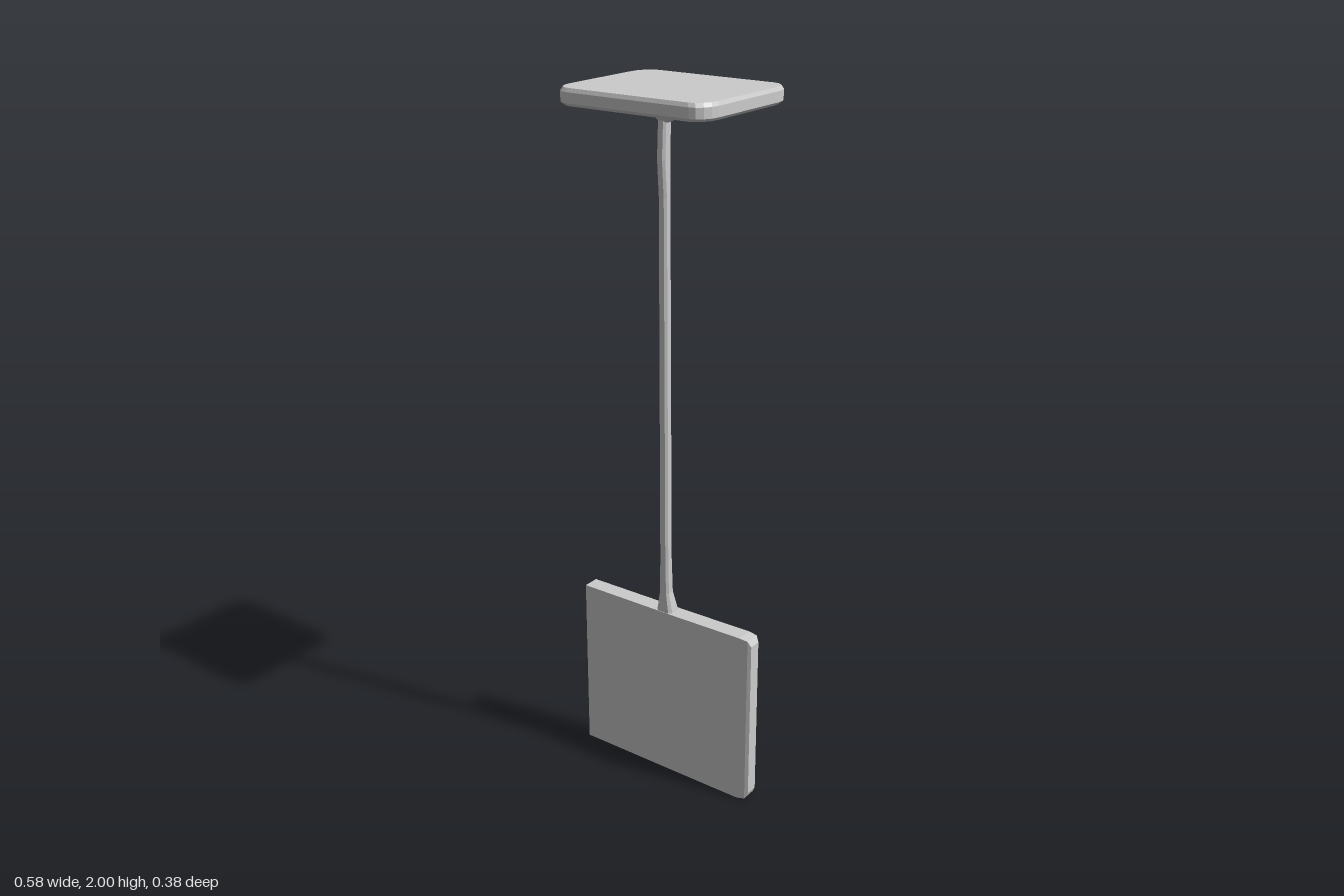
import * as THREE from 'three';

const material = new THREE.MeshStandardMaterial({ color: 0xcccccc, flatShading: true });

// Skin a stack of equal-length rings and close both ends
function loft(name, rings) {
  const pos = [];
  const tri = (...pts) => pts.forEach((p) => pos.push(p.x, p.y, p.z));
  const n = rings[0].length;
  for (let i = 0; i < rings.length - 1; i++) {
    for (let j = 0; j < n; j++) {
      const k = (j + 1) % n;
      tri(rings[i][j], rings[i][k], rings[i + 1][k]);
      tri(rings[i][j], rings[i + 1][k], rings[i + 1][j]);
    }
  }
  const first = rings[0], last = rings[rings.length - 1];
  for (let j = 1; j < n - 1; j++) {
    tri(first[0], first[j + 1], first[j]);
    tri(last[0], last[j], last[j + 1]);
  }
  const geometry = new THREE.BufferGeometry();
  geometry.setAttribute('position', new THREE.Float32BufferAttribute(pos, 3));
  geometry.computeVertexNormals();
  const mesh = new THREE.Mesh(geometry, material);
  mesh.name = name;
  return mesh;
}

// Horizontal rectangle with cut or rounded corners, at height y
function levelRing(y, x0, x1, z0, z1, rx, rz = rx, steps = 1) {
  const corners = [[x1 - rx, z0 + rz], [x0 + rx, z0 + rz], [x0 + rx, z1 - rz], [x1 - rx, z1 - rz]];
  const ring = [];
  corners.forEach(([cx, cz], c) => {
    for (let s = 0; s <= steps; s++) {
      const a = (c + s / steps) * Math.PI / 2;
      ring.push(new THREE.Vector3(cx + rx * Math.cos(a), y, cz - rz * Math.sin(a)));
    }
  });
  return ring;
}

// Upright rectangle across the panel, at position x
function panelRing(x, y0, y1, z0, z1) {
  return [[y0, z0], [y1, z0], [y1, z1], [y0, z1]].map(([y, z]) => new THREE.Vector3(x, y, z));
}

export function createModel() {
  const group = new THREE.Group();

  // Flat panel, square on one edge and chamfered on the other
  group.add(loft('panel', [
    panelRing(-0.293, 0, 0.523, -0.01, 0.038),
    panelRing(0.04, 0, 0.525, -0.01, 0.039),
    panelRing(0.255, 0, 0.528, -0.01, 0.039),
    panelRing(0.28, 0.005, 0.524, -0.01, 0.036),
    panelRing(0.29, 0.025, 0.508, -0.004, 0.032),
  ]));

  // Slim pole, flared where it meets the panel
  group.add(loft('pole', [
    levelRing(0.515, -0.036, 0.019, -0.008, 0.038, 0.008),
    levelRing(0.535, -0.033, 0.016, -0.006, 0.037, 0.008),
    levelRing(0.585, -0.025, 0.006, 0.004, 0.035, 0.006),
    levelRing(0.7, -0.024, 0.004, 0.007, 0.035, 0.006),
    levelRing(1.72, -0.023, 0.003, 0.01, 0.037, 0.006),
    levelRing(1.82, -0.023, 0.003, 0.01, 0.044, 0.006),
    levelRing(1.93, -0.022, 0.004, 0.009, 0.04, 0.006),
  ]));

  // Lopsided collar carrying the top plate
  group.add(loft('collar', [
    levelRing(1.913, -0.022, 0.005, 0.006, 0.036, 0.005),
    levelRing(1.925, -0.026, 0.02, 0.002, 0.046, 0.005),
    levelRing(1.958, -0.04, 0.08, -0.01, 0.085, 0.005),
  ]));

  // Rounded top plate with softened rims
  const plate = [[1.955, 0.008], [1.963, 0], [1.99, 0], [2, 0.005]].map(([y, inset]) =>
    levelRing(y, -0.235 + inset, 0.228 - inset, -0.193 + inset, 0.191 - inset, 0.045, 0.06, 4));
  group.add(loft('topPlate', plate));

  return group;
}
